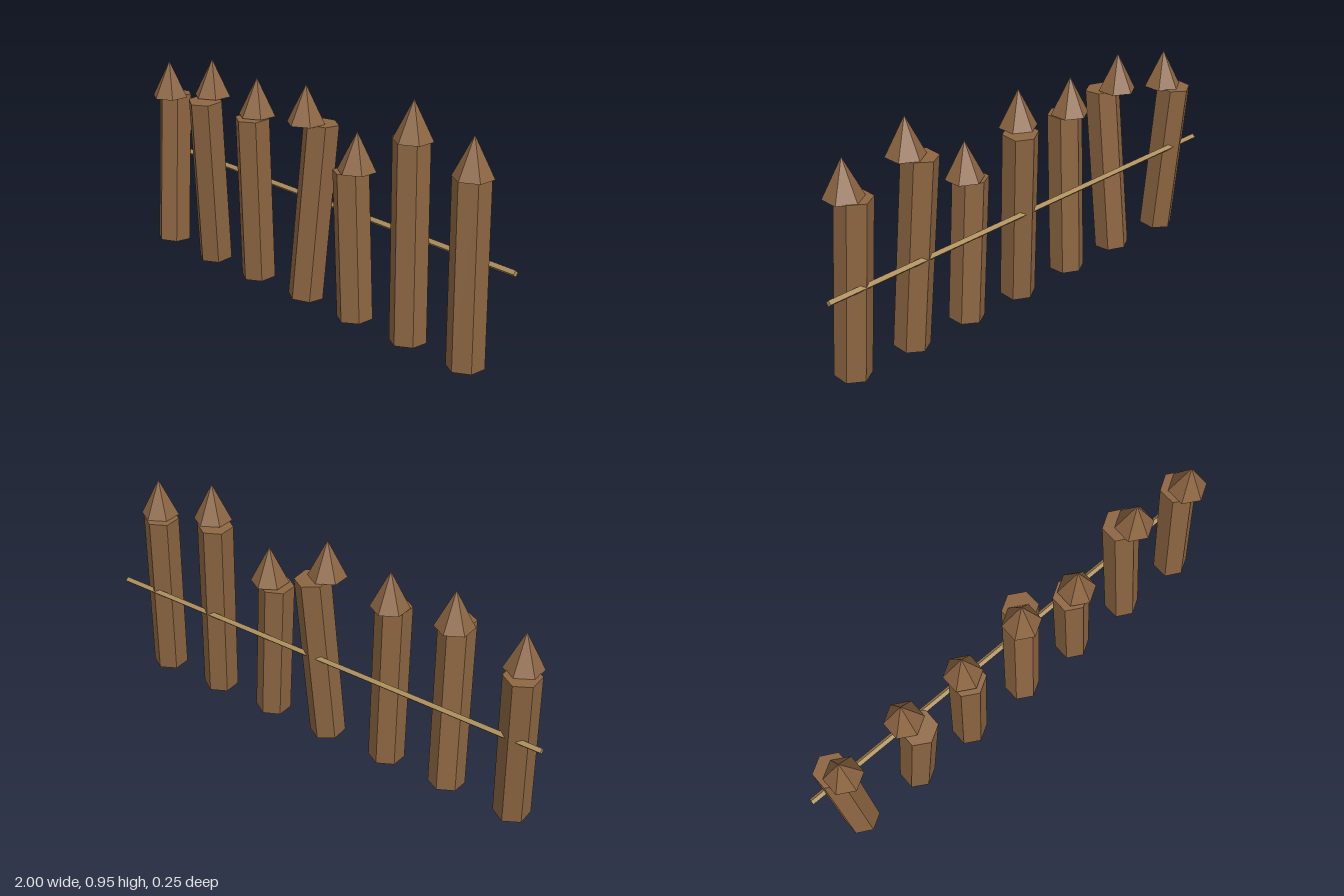
import * as THREE from 'three';

// baseX, topX, topZ, topY (centre of post top), tipY (point of the cap)
const STAKES = [
  [-0.863, -0.884, -0.053, 0.655, 0.807],
  [-0.571, -0.548, 0.049, 0.712, 0.871],
  [-0.289, -0.289, 0.017, 0.690, 0.850],
  [0.0, 0.035, -0.057, 0.728, 0.883],
  [0.282, 0.251, -0.008, 0.600, 0.760],
  [0.566, 0.527, -0.042, 0.790, 0.946],
  [0.852, 0.826, -0.033, 0.727, 0.880],
];
const BASE_Z = -0.007, BASE_Y = 0.006, CAP_HEIGHT = 0.154;

export function createModel() {
  const model = new THREE.Group();
  model.name = 'palisadeFence';

  const wood = new THREE.MeshStandardMaterial({ color: 0x8d6642, flatShading: true });
  wood.name = 'brown wood';
  const railWood = new THREE.MeshStandardMaterial({ color: 0xae8f5b, flatShading: true });
  railWood.name = 'pale rail wood';

  const capGeometry = new THREE.ConeGeometry(0.077, CAP_HEIGHT, 6);
  const up = new THREE.Vector3(0, 1, 0);

  for (const [baseX, topX, topZ, topY, tipY] of STAKES) {
    const stake = new THREE.Group();
    stake.name = 'stake';

    // Leaning six-sided post from its foot to its top
    const foot = new THREE.Vector3(baseX, BASE_Y, BASE_Z);
    const top = new THREE.Vector3(topX, topY, topZ);
    const axis = top.clone().sub(foot);
    const post = new THREE.Mesh(new THREE.CylinderGeometry(0.072, 0.072, axis.length(), 6), wood);
    post.name = 'post';
    post.position.copy(foot).add(top).multiplyScalar(0.5);
    post.quaternion.setFromUnitVectors(up, axis.normalize());

    // Upright pointed cap above the foot
    const cap = new THREE.Mesh(capGeometry, wood);
    cap.name = 'pointedCap';
    cap.position.set(baseX, tipY - CAP_HEIGHT / 2, BASE_Z - 0.002);

    stake.add(post, cap);
    model.add(stake);
  }

  // Four-sided rail running along the back
  const rail = new THREE.Mesh(new THREE.CylinderGeometry(0.013, 0.013, 2, 4), railWood);
  rail.name = 'rail';
  rail.rotation.z = Math.PI / 2;
  rail.position.set(0, 0.394, -0.082);
  model.add(rail);

  return model;
}
